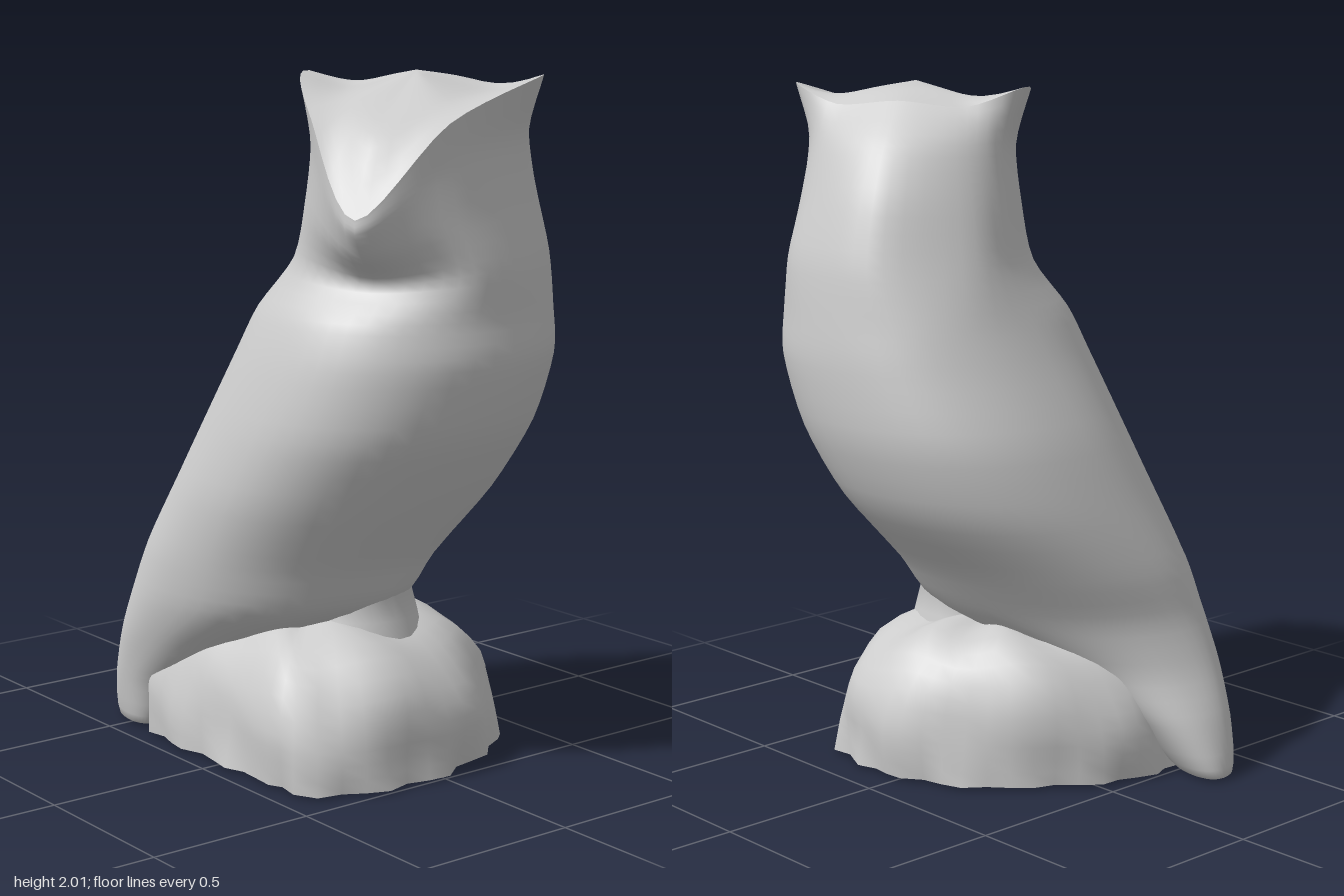
import * as THREE from 'three';
import { mergeVertices } from 'three/addons/utils/BufferGeometryUtils.js';

const SEG = 48;
const V = (x, y, z) => new THREE.Vector3(x, y, z);
const material = new THREE.MeshStandardMaterial({ color: 0xcccccc });
const openMaterial = new THREE.MeshStandardMaterial({ color: 0xcccccc, side: THREE.DoubleSide });

// The head is turned: its side axis is (.87, -.5) and its forward axis (.5, .87) in x, z
const headPoint = ([s, y, f]) => V(0.265 + 0.87 * s + 0.5 * f, y, -0.09 - 0.5 * s + 0.87 * f);

// Head ring from half a section (beak, cheek, side, rear side, nape), mirrored
function headRing(half) {
  const other = half.slice(1, -1).reverse().map(([s, y, f]) => [-s, y, f]);
  const curve = new THREE.CatmullRomCurve3([...half, ...other].map(headPoint), true, 'catmullrom', 0.45);
  return Array.from({ length: SEG }, (_, i) => curve.getPoint(i / SEG));
}

// Skewed, slightly squared ellipse from its extents; starts at the side the face looks to
const squared = (c) => Math.sign(c) * Math.abs(c) ** 0.92;
function bodyRing([y, x0, x1, z0, z1, skew]) {
  return Array.from({ length: SEG }, (_, i) => {
    const t = Math.PI / 3 - (i / SEG) * Math.PI * 2;
    return V((x0 + x1) / 2 + ((x1 - x0) / 2) * squared(Math.cos(t)), y,
      (z0 + z1) / 2 + ((z1 - z0) / 2) * squared(Math.sin(t + skew)));
  });
}

const pointRing = (p) => Array.from({ length: SEG }, () => p.clone());

// Skin over rings from bottom to top, smoothed along each column
function loft(rings, steps) {
  const rows = (rings.length - 1) * steps;
  const columns = rings[0].map((_, i) =>
    new THREE.CatmullRomCurve3(rings.map((r) => r[i]), false, 'catmullrom', 0.4));
  const pos = [], index = [];
  for (let j = 0; j <= rows; j++)
    for (const c of columns) pos.push(...c.getPoint(j / rows).toArray());
  for (let j = 0; j < rows; j++)
    for (let i = 0; i < SEG; i++) {
      const a = j * SEG + i, b = j * SEG + (i + 1) % SEG;
      index.push(a, b, a + SEG, b, b + SEG, a + SEG);
    }
  let g = new THREE.BufferGeometry();
  g.setAttribute('position', new THREE.Float32BufferAttribute(pos, 3));
  g.setIndex(index);
  g = mergeVertices(g, 1e-5);
  g.computeVertexNormals();
  return g;
}

export function createModel() {
  const group = new THREE.Group();
  const add = (name, geometry, mat = material) => {
    const mesh = new THREE.Mesh(geometry, mat);
    mesh.name = name;
    group.add(mesh);
    return mesh;
  };

  // Body: tail tip up to the shoulders (y, x range, z range, skew)
  const body = [
    [0.0, -0.655, -0.42, 0.255, 0.43, 0.4],
    [0.15, -0.615, -0.31, 0.17, 0.46, 0],
    [0.3, -0.545, -0.06, 0.05, 0.485, -0.3],
    [0.45, -0.49, 0.25, -0.13, 0.5, -0.36],
    [0.6, -0.46, 0.34, -0.24, 0.5, -0.22],
    [0.8, -0.4, 0.48, -0.4, 0.49, -0.06],
    [1.0, -0.33, 0.6, -0.48, 0.46, 0.02],
    [1.2, -0.23, 0.65, -0.5, 0.41, 0.02],
    [1.33, -0.17, 0.635, -0.49, 0.36, 0.02],
  ].map(bodyRing);

  // Face: neck, beak, eye hollows and the brow ridge that ends in the ear tufts
  const brow = headRing([[0, 1.62, 0.5], [0.2, 1.87, 0.32], [0.36, 1.99, 0], [0.2, 1.935, -0.09], [0, 1.95, -0.12]]);
  const face = [
    [[0, 1.43, 0.36], [0.26, 1.46, 0.27], [0.36, 1.48, 0], [0.28, 1.5, -0.25], [0, 1.5, -0.39]],
    [[0, 1.51, 0.45], [0.22, 1.61, 0.3], [0.325, 1.66, 0], [0.25, 1.67, -0.2], [0, 1.68, -0.33]],
    [[0, 1.58, 0.5], [0.2, 1.76, 0.31], [0.31, 1.83, 0], [0.22, 1.83, -0.15], [0, 1.83, -0.24]],
  ].map(headRing);
  const tailEnd = pointRing(V(-0.54, 0, 0.345));
  add('bodyAndFace', loft([tailEnd, ...body, ...face, brow], 4));

  // Crown: bulging forehead and skull top inside the brow ridge
  const crown = headRing([[0, 1.84, 0.36], [0.13, 1.92, 0.21], [0.21, 1.95, 0], [0.13, 1.975, -0.04], [0, 1.985, -0.05]]);
  add('crown', loft([brow, crown, pointRing(headPoint([0, 2, 0.04]))], 5));

  // Legs: feathered stump between body and rock
  const legs = add('legs', new THREE.LatheGeometry(
    [[0.2, 0.3], [0.17, 0.42], [0.15, 0.5], [0.19, 0.64]].map(([r, y]) => new THREE.Vector2(r, y)), 24), openMaterial);
  legs.position.set(0.13, 0, 0.02);

  // Rock: lumpy hollow dome with a ragged lower edge, long across the chest,
  // full below the chest, shallow behind and flattened along the front
  const rock = [[1, 0], [1, 0.08], [0.98, 0.16], [0.92, 0.25], [0.78, 0.34], [0.57, 0.4], [0.3, 0.425], [0, 0.43]]
    .map(([r, y], j) => Array.from({ length: SEG }, (_, i) => {
      const a = (i / SEG) * Math.PI * 2;
      const u = 0.53 * Math.sin(a), v = (Math.cos(a) > 0 ? 0.57 : 0.36) * Math.cos(a);
      const ragged = j < 2 ? 0.03 * Math.sin(a * 16) * (1 - j * 0.6) - 0.01 : 0;
      const k = r * (1 + ragged + 0.018 * Math.sin(a * 5 + j * 1.3) + 0.012 * Math.sin(a * 9 - j));
      const lump = j > 2 && j < 7 ? 0.012 * Math.sin(a * 7 + j) : 0;
      return V(-0.04 + 0.707 * (u + v) * k, y + lump, 0.04 + Math.min(0.707 * (v - u), 0.41) * k);
    }));
  add('rock', loft(rock, 2), openMaterial);

  return group;
}
